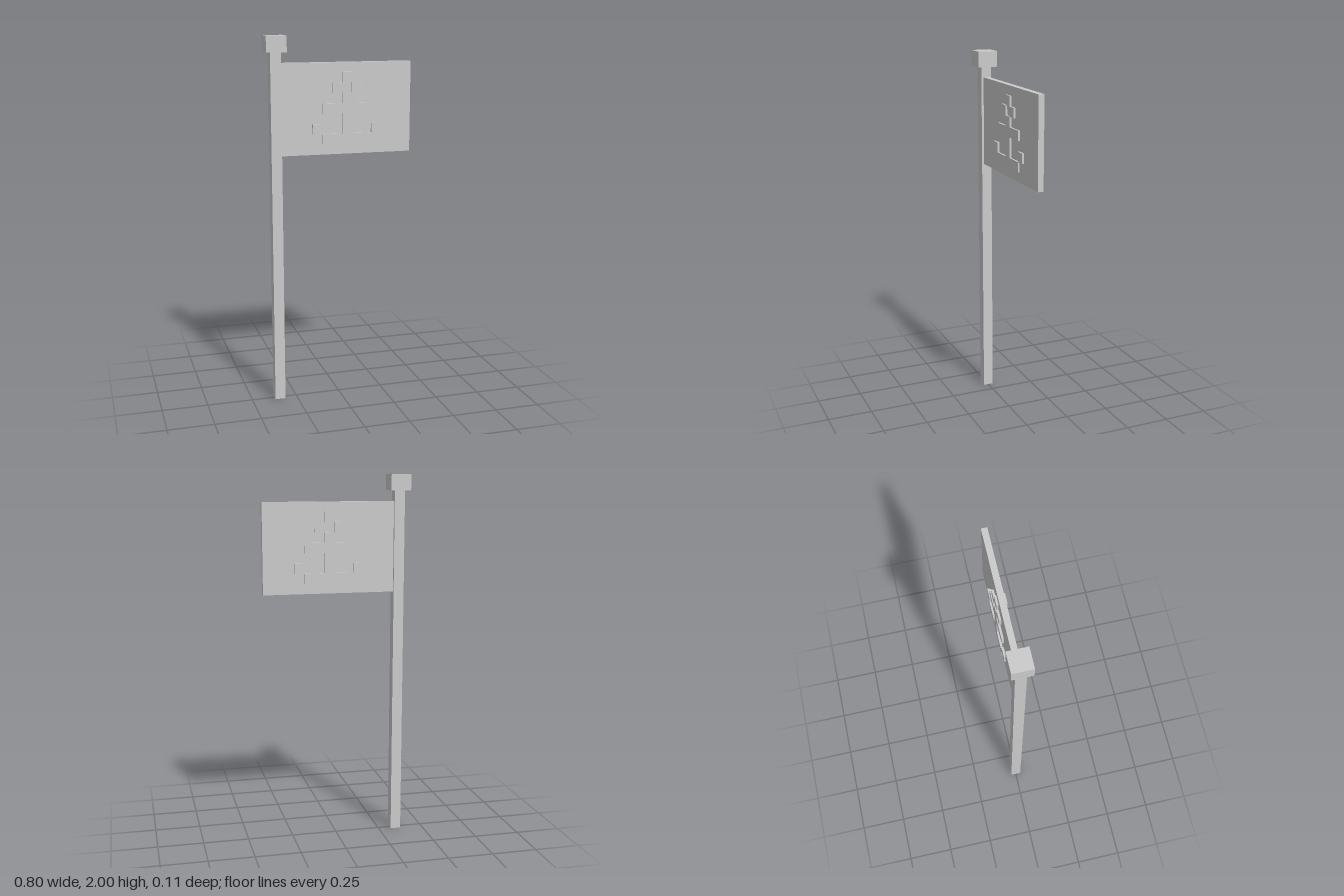
import * as THREE from 'three';

export function createModel() {
  const model = new THREE.Group();
  const material = new THREE.MeshStandardMaterial({ color: 0xcccccc, flatShading: true });

  // Box given by its x and y limits, centred on z = 0
  function addBox(parent, name, x0, x1, y0, y1, depth) {
    const mesh = new THREE.Mesh(new THREE.BoxGeometry(x1 - x0, y1 - y0, depth), material);
    mesh.name = name;
    mesh.position.set((x0 + x1) / 2, (y0 + y1) / 2, 0);
    parent.add(mesh);
  }

  // Square pole with its cap, and the cloth panel
  addBox(model, 'pole', -0.374, -0.317, 0, 1.915, 0.057);
  addBox(model, 'poleCap', -0.4, -0.291, 1.915, 2, 0.108);
  addBox(model, 'flagPanel', -0.317, 0.4, 1.37, 1.858, 0.032);

  // Raised anchor on a 7 x 7 grid, standing out on both faces of the panel
  const anchor = new THREE.Group();
  anchor.name = 'anchorRelief';
  const cell = 0.0544, left = -0.149, top = 1.807;
  // name, first column, first row, columns, rows
  const pieces = [
    ['ringTop', 3, 0, 1, 1],
    ['ringRight', 2, 1, 1, 1],
    ['ringLeft', 4, 1, 1, 1],
    ['shankTop', 3, 2, 1, 1],
    ['crossbar', 1, 3, 5, 1],
    ['shank', 3, 4, 1, 2],
    ['arms', 1, 6, 5, 1],
    ['flukeRight', 0, 5, 1, 1],
    ['flukeLeft', 6, 5, 1, 1],
  ];
  for (const [name, col, row, w, h] of pieces) {
    addBox(anchor, name, left + col * cell, left + (col + w) * cell,
      top - (row + h) * cell, top - row * cell, 0.054);
  }
  model.add(anchor);

  return model;
}
